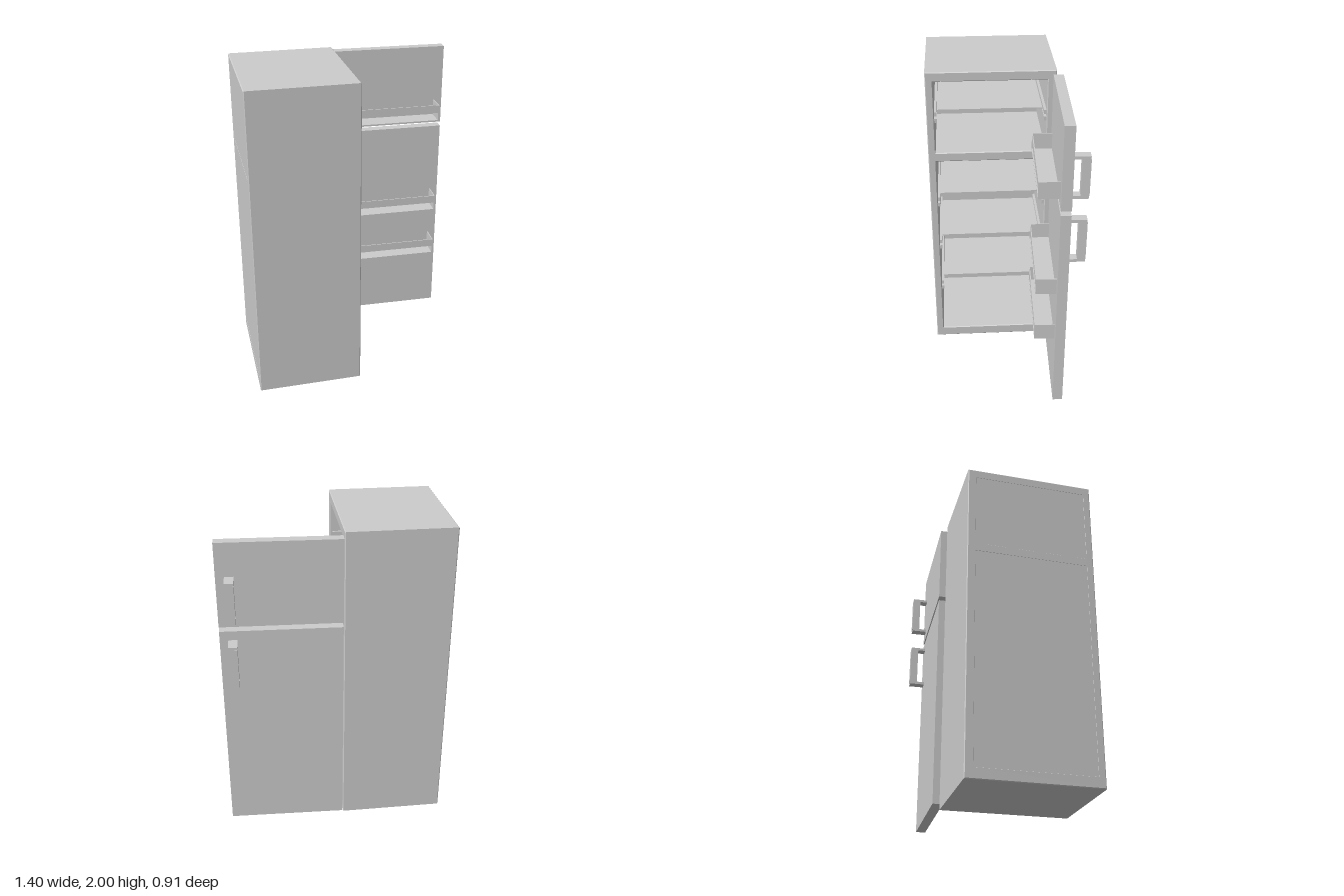
import * as THREE from 'three';

const material = new THREE.MeshStandardMaterial({ color: 0xcccccc, flatShading: true });

// Box given by its min and max along each axis
function box(parent, name, [x0, x1], [y0, y1], [z0, z1]) {
  const mesh = new THREE.Mesh(new THREE.BoxGeometry(x1 - x0, y1 - y0, z1 - z0), material);
  mesh.position.set((x0 + x1) / 2, (y0 + y1) / 2, (z0 + z1) / 2);
  mesh.name = name;
  parent.add(mesh);
  return mesh;
}

// Adds a rectangle to a shape or path
function rect(path, x0, y0, x1, y1) {
  path.moveTo(x0, y0);
  path.lineTo(x1, y0);
  path.lineTo(x1, y1);
  path.lineTo(x0, y1);
  path.closePath();
  return path;
}

// Cabinet shell with two compartments opening toward +x
function createCabinet() {
  const cabinet = new THREE.Group();
  cabinet.name = 'cabinet';
  const b = 0.005;
  const outline = rect(new THREE.Shape(), -0.455 + b, b, 0.342 - b, 2 - b);
  for (const [y0, y1] of [[0.07, 1.405], [1.465, 1.94]]) {
    outline.holes.push(rect(new THREE.Path(), -0.408 - b, y0 - b, 0.288 + b, y1 + b));
  }
  const geometry = new THREE.ExtrudeGeometry(outline, {
    depth: 0.66 - 2 * b, bevelEnabled: true, bevelSize: b, bevelThickness: b, bevelSegments: 1,
  });
  geometry.rotateY(Math.PI / 2);
  geometry.translate(-0.702 + b, 0, 0);
  const shell = new THREE.Mesh(geometry, material);
  shell.name = 'shell';
  cabinet.add(shell);
  box(cabinet, 'backPanel', [-0.701, -0.652], [0.02, 1.98], [-0.325, 0.438]);

  // Shelves, each held between an upper and a lower rail on both walls
  for (const y of [0.432, 0.768, 1.097, 1.697]) {
    box(cabinet, 'shelf', [-0.652, -0.18], [y - 0.004, y + 0.004], [-0.287, 0.407]);
    for (const [z0, z1] of [[-0.288, -0.272], [0.392, 0.408]]) {
      box(cabinet, 'upperRail', [-0.652, -0.06], [y + 0.012, y + 0.037], [z0, z1]);
      box(cabinet, 'lowerRail', [-0.652, -0.06], [y - 0.032, y - 0.006], [z0, z1]);
    }
  }
  return cabinet;
}

// Door bin: floor, two side walls and a retaining bar across the upper front
function addBin(door, y) {
  const bin = new THREE.Group();
  bin.name = 'doorBin';
  const t = 0.006, x0 = -0.314, x1 = 0.316, z0 = 0.03, z1 = 0.157, h = 0.108;
  box(bin, 'binFloor', [x0, x1], [y, y + t], [z0, z1]);
  box(bin, 'binSide', [x0, x0 + t], [y, y + h], [z0, z1]);
  box(bin, 'binSide', [x1 - t, x1], [y, y + h], [z0, z1]);
  box(bin, 'binBar', [x0, x1], [y + 0.056, y + h], [z1 - t, z1]);
  door.add(bin);
}

// Handle: a deep upright grip on two flat posts
function addHandle(door, y0, y1) {
  const handle = new THREE.Group();
  handle.name = 'handle';
  const xs = [0.262, 0.316], t = 0.018;
  box(handle, 'grip', xs, [y0 + t, y1 - t], [-0.131, -0.081]);
  for (const y of [y0, y1 - t]) box(handle, 'post', xs, [y, y + t], [-0.129, -0.03]);
  door.add(handle);
}

// Door swung open, its outside facing -z
function createDoor(name, y0, y1, bins, handle) {
  const door = new THREE.Group();
  door.name = name;
  box(door, 'panel', [-0.367, 0.367], [y0, y1], [-0.031, 0.031]);
  bins.forEach((y) => addBin(door, y));
  addHandle(door, ...handle);
  door.position.set(0.333, 0, -0.338);
  door.rotation.y = -0.035;
  return door;
}

export function createModel() {
  const model = new THREE.Group();
  model.name = 'refrigerator';
  model.add(
    createCabinet(),
    createDoor('freezerDoor', 1.453, 1.975, [1.505], [1.505, 1.77]),
    createDoor('fridgeDoor', 0.04, 1.424, [0.848, 0.505], [1.08, 1.366]),
  );
  return model;
}
